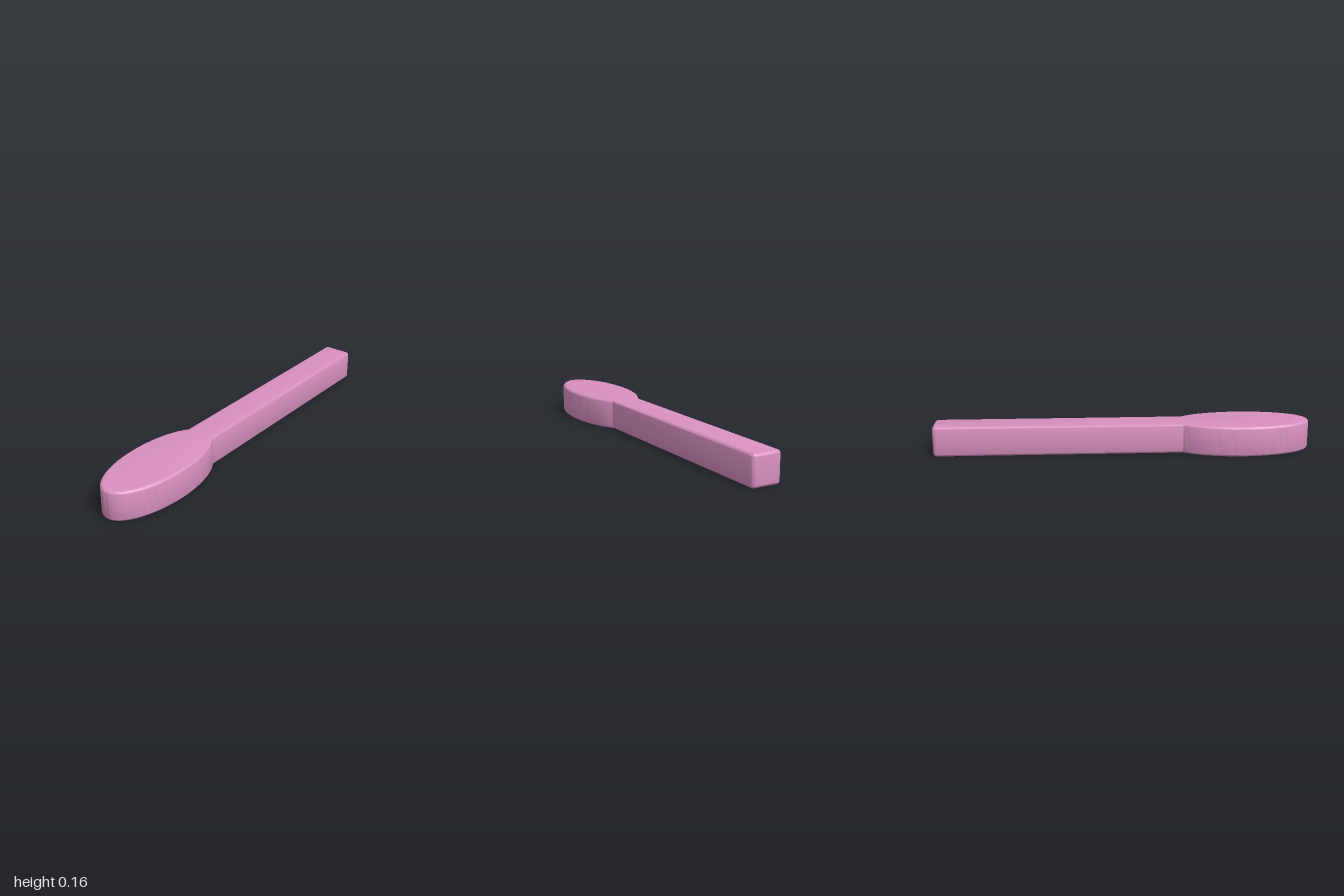
import * as THREE from 'three';
import { toCreasedNormals } from 'three/addons/utils/BufferGeometryUtils.js';

const HEIGHT = 0.163;
const BEVEL = 0.018;

// Plan outline: an elliptical bowl merging into a straight handle
function spoonOutline() {
  const cx = -0.635, rx = 0.365, rz = 0.163; // bowl
  const half = 0.081, end = 1, r = 0.022;    // handle
  const t = Math.asin(half / rz);            // where the handle meets the bowl

  const shape = new THREE.Shape();
  shape.absellipse(cx, 0, rx, rz, t, Math.PI * 2 - t, false, 0);
  shape.lineTo(end - r, -half);
  shape.absarc(end - r, -half + r, r, -Math.PI / 2, 0, false);
  shape.lineTo(end, half - r);
  shape.absarc(end - r, half - r, r, 0, Math.PI / 2, false);
  shape.closePath();

  // Fine steps around the bowl, coarser ones on the small handle corners
  const points = shape.curves.flatMap((curve, i) =>
    curve.getPoints(i === 0 ? 96 : curve.isEllipseCurve ? 6 : 1).slice(0, -1));
  return new THREE.Shape(points);
}

export function createModel() {
  const group = new THREE.Group();
  group.name = 'spoon';

  // Extrude upward with rounded top and bottom edges
  const geometry = new THREE.ExtrudeGeometry(spoonOutline(), {
    depth: HEIGHT - 2 * BEVEL,
    bevelEnabled: true,
    bevelThickness: BEVEL,
    bevelSize: BEVEL,
    bevelOffset: -BEVEL,
    bevelSegments: 6,
  });
  geometry.rotateX(-Math.PI / 2);
  geometry.translate(0, BEVEL, 0);

  const body = new THREE.Mesh(
    toCreasedNormals(geometry, Math.PI / 6),
    new THREE.MeshStandardMaterial({ color: 0xd890c0 })
  );
  body.name = 'bowlAndHandle';
  group.add(body);
  return group;
}
